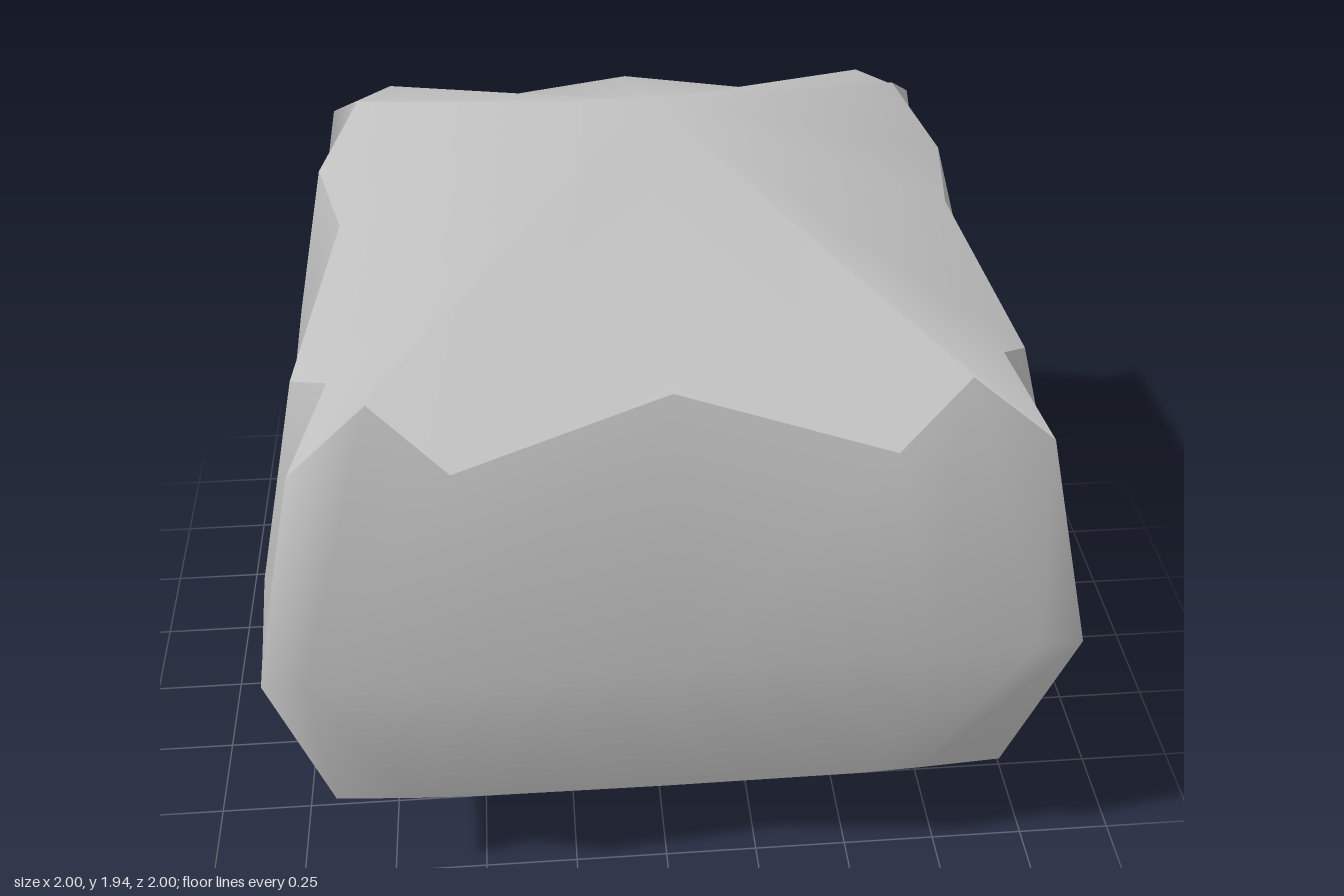
import * as THREE from 'three';

const MID = 0.97, HEIGHT = 1.94;

// One side of each ring, from its corner to just before the next: [x, z, height above the middle]
const SHOULDER = [[-0.86, 0.86, 0.53], [-0.68, 0.77, 0.65], [-0.5, 0.88, 0.53],
  [0, 0.78, 0.65], [0.5, 0.88, 0.53], [0.68, 0.77, 0.65]];
const EQUATOR = [[-0.972, 0.972, 0], [-0.87, 0.978, 0], [-0.6, 0.998, 0],
  [0, 0.985, 0], [0.6, 0.998, 0], [0.87, 0.978, 0]];

// Turn one side through four quarters to close the ring
function ring(side, sign) {
  const points = [];
  for (let q = 0; q < 4; q++) {
    for (const [x, z, h] of side) {
      const [px, pz] = [[x, z], [z, -x], [-x, -z], [-z, x]][q];
      points.push(new THREE.Vector3(px, MID + sign * h, pz));
    }
  }
  return points;
}

function surface(points, index) {
  const geometry = new THREE.BufferGeometry().setFromPoints(points);
  geometry.setIndex(index);
  geometry.computeVertexNormals();
  return geometry;
}

// Smooth wall through rings listed from bottom to top
function wall(rings) {
  const n = rings[0].length, index = [];
  for (let r = 0; r < rings.length - 1; r++) {
    for (let i = 0; i < n; i++) {
      const a = r * n + i, b = r * n + (i + 1) % n;
      index.push(a, b, b + n, a, b + n, a + n);
    }
  }
  return surface(rings.flat(), index);
}

// Fan from a pole to a ring
function cap(points, poleY, up) {
  const n = points.length, index = [];
  for (let i = 0; i < n; i++) {
    const j = (i + 1) % n;
    index.push(n, up ? i : j, up ? j : i);
  }
  return surface([...points, new THREE.Vector3(0, poleY, 0)], index);
}

export function createModel() {
  const group = new THREE.Group();
  group.name = 'facetedBoulder';
  const grey = new THREE.MeshStandardMaterial({ color: 0xc0c0c0 });
  grey.name = 'grey';

  const upper = ring(SHOULDER, 1), middle = ring(EQUATOR, 1), lower = ring(SHOULDER, -1);
  const parts = {
    sideWall: wall([lower, middle, upper]),
    topCap: cap(upper, HEIGHT, true),
    bottomCap: cap(lower, 0, false),
  };
  for (const [name, geometry] of Object.entries(parts)) {
    const mesh = new THREE.Mesh(geometry, grey);
    mesh.name = name;
    group.add(mesh);
  }
  return group;
}
